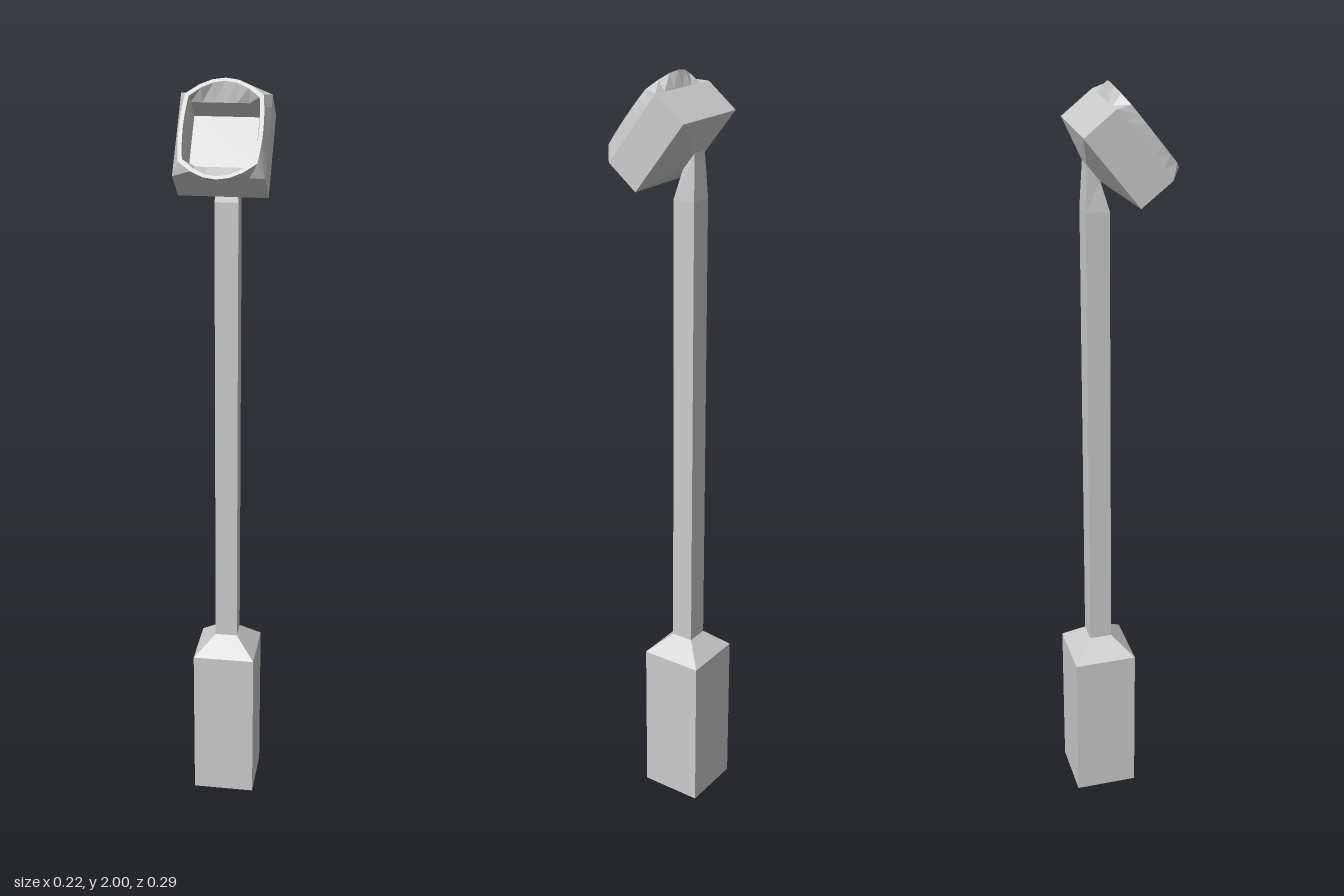
import * as THREE from 'three';

const material = new THREE.MeshStandardMaterial({ color: 0xcccccc, flatShading: true });

// Skin a list of equal-length closed rings, capping both ends.
function loft(name, rings) {
  const n = rings[0].length;
  const pos = [];
  const tri = (...pts) => pts.forEach((p) => pos.push(...p));
  const middle = (ring) => [0, 1, 2].map((k) => ring.reduce((s, p) => s + p[k], 0) / n);
  const first = rings[0], last = rings[rings.length - 1];
  const c0 = middle(first), c1 = middle(last);
  for (let i = 0; i < n; i++) {
    const j = (i + 1) % n;
    for (let r = 0; r < rings.length - 1; r++) {
      const a = rings[r], b = rings[r + 1];
      tri(a[i], a[j], b[j]);
      tri(a[i], b[j], b[i]);
    }
    tri(c0, first[j], first[i]);
    tri(c1, last[i], last[j]);
  }
  const geo = new THREE.BufferGeometry();
  geo.setAttribute('position', new THREE.Float32BufferAttribute(pos, 3));
  geo.computeVertexNormals();
  const mesh = new THREE.Mesh(geo, material);
  mesh.name = name;
  return mesh;
}

// Horizontal square ring around the post axis.
const AXIS_Z = -0.059;
const square = (h, y) => [[1, 1], [1, -1], [-1, -1], [-1, 1]].map(([x, z]) => [x * h, y, AXIS_Z + z * h]);

// Rectangle facing +z whose sides can bow outward by bx and by.
function bowed(w, h, z, bx = 0, by = 0) {
  const N = 6, right = [], top = [];
  for (let i = 0; i < N; i++) {
    const t = -1 + (2 * i) / N, bow = 1 - t * t;
    right.push([w + bx * bow, h * t, z]);
    top.push([-w * t, h + by * bow, z]);
  }
  const flip = (p) => [-p[0], -p[1], p[2]];
  return [...right, ...top, ...right.map(flip), ...top.map(flip)];
}

export function createModel() {
  const model = new THREE.Group();

  // Pedestal with a tapered top and a hollowed underside
  model.add(loft('base', [square(0.03, 0.05), square(0.084, 0), square(0.084, 0.43), square(0.03, 0.48)]));

  // Tilted head: back taper, box, bowed rim, funnel and square recess
  const tilt = THREE.MathUtils.degToRad(38.2);
  const neckW = 0.022, neckH = 0.027, neckZ = -0.129;
  const head = loft('head', [
    bowed(neckW, neckH, neckZ),
    bowed(0.111, 0.111, -0.099),
    bowed(0.111, 0.111, 0),
    bowed(0.094, 0.09, 0.034, 0.007, 0.0435),
    bowed(0.085, 0.083, 0.034, 0.006, 0.042),
    bowed(0.085, 0.085, 0.002),
    bowed(0.085, 0.085, -0.063),
  ]);
  head.position.set(0, 1.874, 0.0345);
  head.rotation.x = -tilt;
  model.add(head);

  // Post, bending at the top into the back of the head
  head.updateMatrix();
  const neck = [[1, -1], [1, 1], [-1, 1], [-1, -1]].map(([x, y]) =>
    new THREE.Vector3(x * neckW, y * neckH, neckZ).applyMatrix4(head.matrix).toArray());
  model.add(loft('post', [square(0.03, 0.47), square(0.03, 1.7), neck]));

  return model;
}
